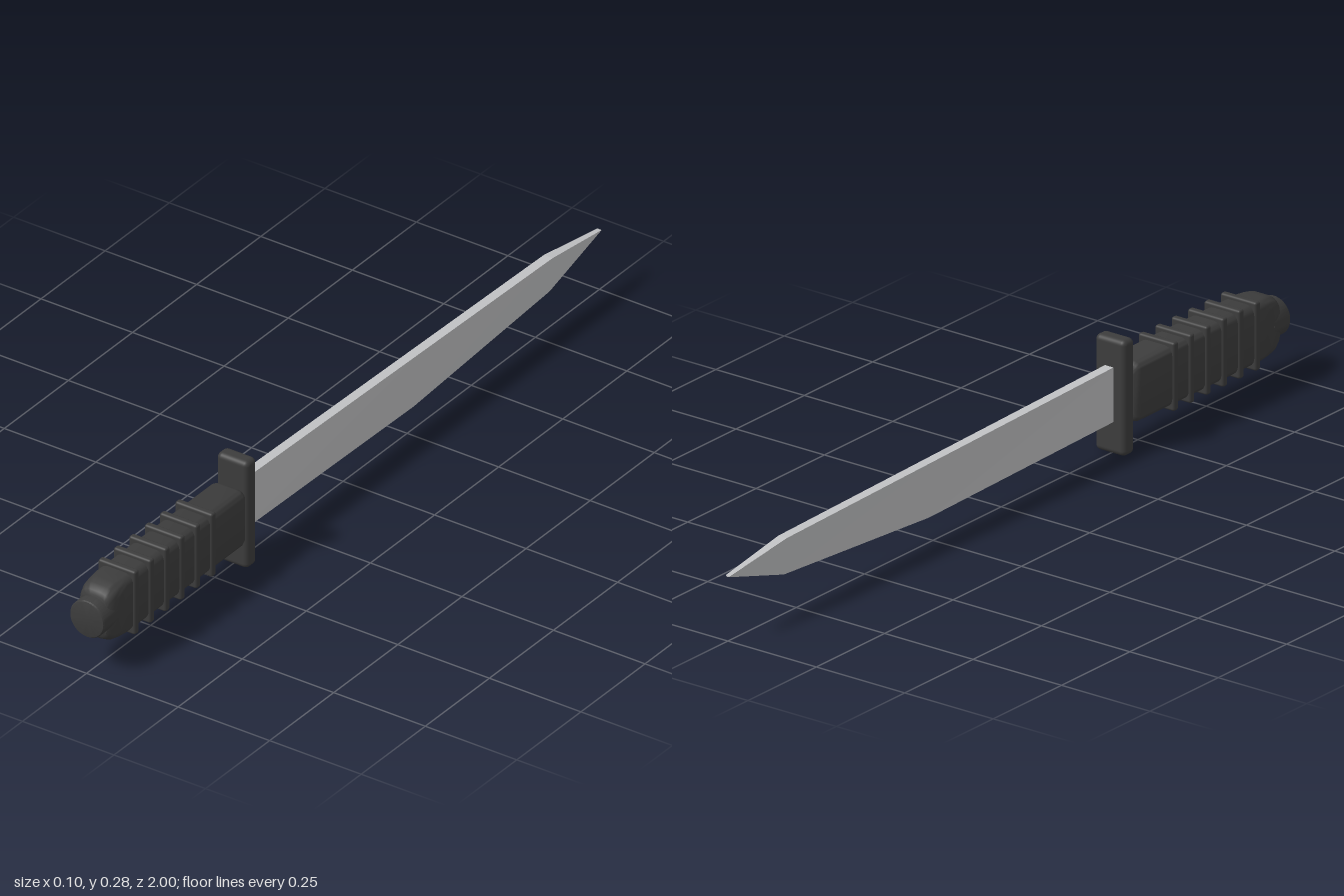
import * as THREE from 'three';
import { toCreasedNormals } from 'three/addons/utils/BufferGeometryUtils.js';
import { RoundedBoxGeometry } from 'three/addons/geometries/RoundedBoxGeometry.js';

// Skin over rings of [x, y, z]; rings run towards -z, points counter-clockwise seen from +z
function loft(rings, crease) {
  const n = rings[0].length, last = rings.length - 1;
  const pos = rings.flat(2), index = [];
  for (let i = 0; i < last; i++) for (let j = 0; j < n; j++) {
    const k = (j + 1) % n, a = i * n + j, b = i * n + k, c = a + n, d = b + n;
    index.push(a, c, d, a, d, b);
  }
  for (let j = 1; j < n - 1; j++) {
    index.push(0, j, j + 1);
    index.push(last * n, last * n + j + 1, last * n + j);
  }
  const geo = new THREE.BufferGeometry();
  geo.setAttribute('position', new THREE.Float32BufferAttribute(pos, 3));
  geo.setIndex(index);
  return toCreasedNormals(geo, crease);
}

// Rounded rectangle section
function section(hx, hy, r, cy, z) {
  const pts = [], steps = 6;
  [[1, 1], [-1, 1], [-1, -1], [1, -1]].forEach(([sx, sy], q) => {
    for (let s = 0; s <= steps; s++) {
      const a = (q + s / steps) * Math.PI / 2;
      pts.push([sx * (hx - r) + r * Math.cos(a), cy + sy * (hy - r) + r * Math.sin(a), z]);
    }
  });
  return pts;
}

export function createModel() {
  const model = new THREE.Group();
  const black = new THREE.MeshStandardMaterial({ color: 0x3c3c3c });
  black.name = 'dark grip';
  const steel = new THREE.MeshStandardMaterial({ color: 0xc0c1c3 });
  steel.name = 'steel';
  const add = (name, geo, mat, y = 0, z = 0) => {
    const mesh = new THREE.Mesh(geo, mat);
    mesh.name = name;
    mesh.position.set(0, y, z);
    model.add(mesh);
    return mesh;
  };

  // Blade: z, spine height, edge height, spine half width, edge half width
  const blade = [
    [0.41, 0.212, 0.08, 0.012, 0.012],
    [-0.27, 0.198, 0.063, 0.012, 0.005],
    [-0.8, 0.187, 0.097, 0.012, 0.004],
    [-1, 0.158, 0.155, 0.006, 0.003],
  ].map(([z, top, low, tw, lw]) => [[lw, low, z], [tw, top, z], [-tw, top, z], [-lw, low, z]]);
  add('blade', loft(blade, 0.02), steel);

  // Guard
  add('guard', new RoundedBoxGeometry(0.086, 0.28, 0.04, 4, 0.013), black, 0.14, 0.415);

  // Grip: z, half width, half height, corner radius
  const grip = [
    [0.972, 0.036, 0.052, 0.026], [0.966, 0.041, 0.06, 0.028], [0.95, 0.045, 0.069, 0.028],
    [0.93, 0.046, 0.073, 0.027], [0.905, 0.046, 0.075, 0.024],
    [0.453, 0.046, 0.073, 0.02], [0.443, 0.043, 0.07, 0.019], [0.437, 0.036, 0.063, 0.016],
  ].map(([z, hx, hy, r]) => section(hx, hy, r, 0.14, z));
  add('grip', loft(grip, 0.7), black);

  // Raised grip rings
  for (let i = 0; i < 6; i++) {
    add('gripRing', new RoundedBoxGeometry(0.102, 0.166, 0.018, 3, 0.006), black, 0.141, 0.575 + i * 0.06);
  }

  // Round pommel
  const profile = [[0, -0.04], [0.047, -0.04], [0.047, 0.016], [0.045, 0.019], [0.042, 0.02], [0, 0.02]]
    .map(([x, y]) => new THREE.Vector2(x, y));
  const pommel = toCreasedNormals(new THREE.LatheGeometry(profile, 40), 0.6);
  add('pommel', pommel, black, 0.141, 0.98).rotation.x = Math.PI / 2;

  return model;
}
